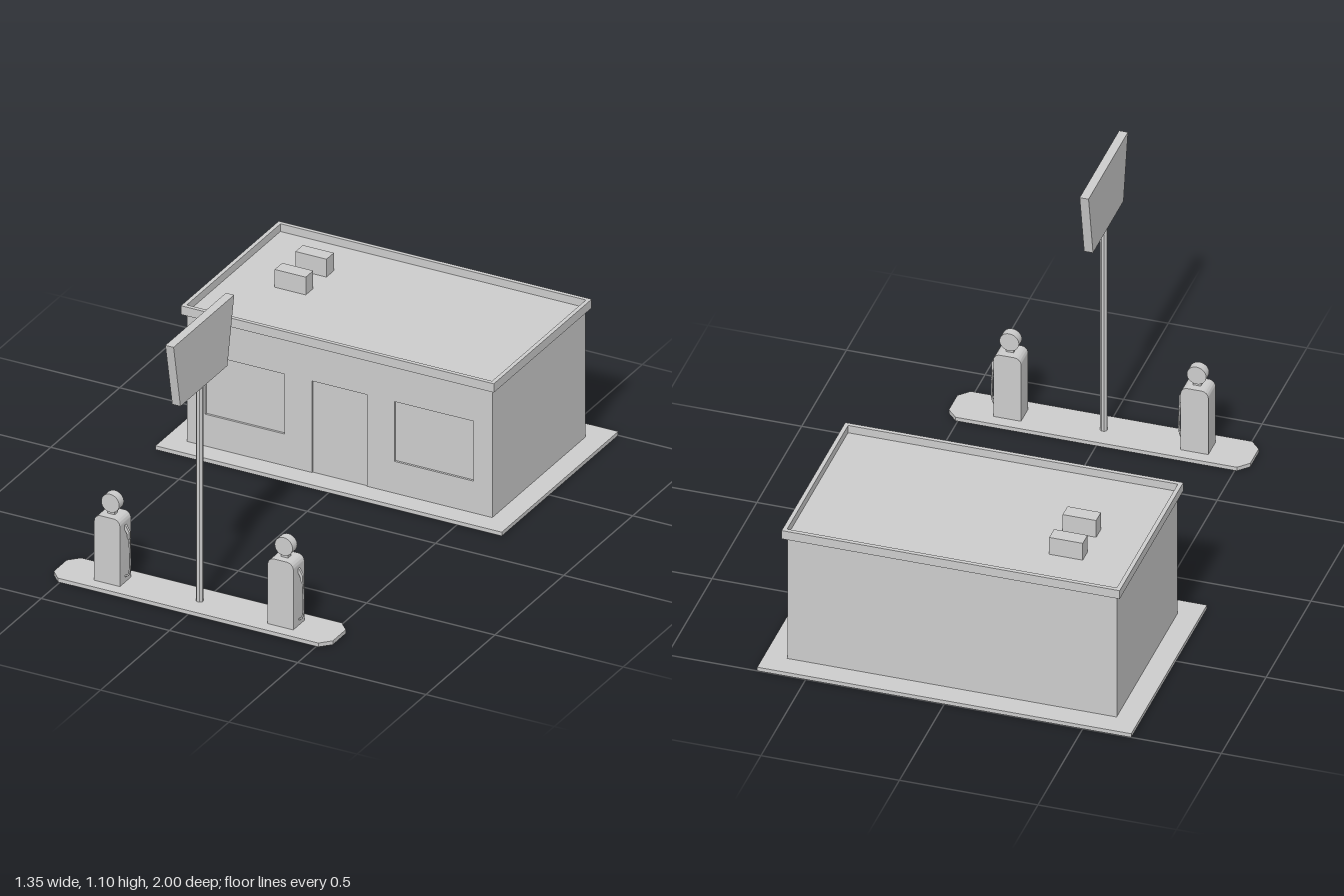
import * as THREE from 'three';
import { toCreasedNormals } from 'three/addons/utils/BufferGeometryUtils.js';

const material = new THREE.MeshStandardMaterial({ color: 0xcccccc });

function add(parent, name, geometry, x = 0, y = 0, z = 0) {
  const mesh = new THREE.Mesh(geometry, material);
  mesh.name = name;
  mesh.position.set(x, y, z);
  parent.add(mesh);
  return mesh;
}

// Box given by its limits on each axis
function addBox(parent, name, [x0, x1], [y0, y1], [z0, z1]) {
  return add(parent, name, new THREE.BoxGeometry(x1 - x0, y1 - y0, z1 - z0),
    (x0 + x1) / 2, (y0 + y1) / 2, (z0 + z1) / 2);
}

const polygon = (points) => new THREE.Shape(points.map(([x, y]) => new THREE.Vector2(x, y)));
const rect = (x0, x1, y0, y1) => polygon([[x0, y0], [x1, y0], [x1, y1], [x0, y1]]);
const extrude = (shape, depth, curveSegments = 8) =>
  new THREE.ExtrudeGeometry(shape, { depth, bevelEnabled: false, curveSegments });

// Horizontal rectangular frame, centred, rising from y = 0
function frame(outerX, outerZ, innerX, innerZ, height) {
  const shape = rect(-outerX, outerX, -outerZ, outerZ);
  shape.holes.push(rect(-innerX, innerX, -innerZ, innerZ));
  return extrude(shape, height).rotateX(-Math.PI / 2);
}

function createShop() {
  const shop = new THREE.Group();
  shop.name = 'shop';
  const W = 0.595, back = -0.912, front = -0.235, t = 0.018, mid = (front + back) / 2;
  const D = (front - back) / 2;

  // Ground slab around the walls, and the floor inside them
  add(shop, 'groundSlab', frame(0.675, 0.4225, W, D, 0.015), 0, 0, -0.5775);
  addBox(shop, 'floor', [-W + t, W - t], [0, 0.015], [back + t, front - t]);

  // Front wall with a door notch and two window openings
  const wall = polygon([[-W, 0.008], [-0.108, 0.008], [-0.108, 0.37], [0.106, 0.37],
    [0.106, 0.008], [W, 0.008], [W, 0.51], [-W, 0.51]]);
  for (const x of [-0.37, 0.367]) wall.holes.push(rect(x - 0.154, x + 0.154, 0.138, 0.37));
  add(shop, 'frontWall', extrude(wall, t), 0, 0, front - t);
  addBox(shop, 'door', [-0.108, 0.106], [0.008, 0.37], [front - t, front - 0.008]);
  for (const x of [-0.37, 0.367]) {
    addBox(shop, 'window', [x - 0.154, x + 0.154], [0.138, 0.37], [front - t, front - 0.008]);
  }

  // Plain walls
  addBox(shop, 'backWall', [-W, W], [0.008, 0.51], [back, back + t]);
  for (const s of [-1, 1]) {
    const x = s * (W - t / 2);
    addBox(shop, 'sideWall', [x - t / 2, x + t / 2], [0.008, 0.51], [back + t, front - t]);
  }

  // Sunken roof, raised rim and two vents
  addBox(shop, 'roof', [-W, W], [0.5, 0.516], [back, front]);
  add(shop, 'roofRim', frame(0.61, 0.355, 0.595, 0.34, 0.034), 0, 0.511, mid);
  for (const z of [-0.717, -0.567]) {
    addBox(shop, 'roofVent', [-0.417, -0.296], [0.514, 0.585], [z - 0.027, z + 0.027]);
  }
  return shop;
}

function createPump(x, z) {
  const pump = new THREE.Group();
  pump.name = 'fuelPump';
  pump.position.set(x, 0, z);

  // Cabinet with rounded top corners
  const w = 0.05, top = 0.271, r = 0.025;
  const body = new THREE.Shape();
  body.moveTo(-w, 0.012);
  body.lineTo(w, 0.012);
  body.lineTo(w, top - r);
  body.absarc(w - r, top - r, r, 0, Math.PI / 2);
  body.absarc(-w + r, top - r, r, Math.PI / 2, Math.PI);
  body.closePath();
  add(pump, 'pumpCabinet', toCreasedNormals(extrude(body, 0.08, 6), 0.6), 0, 0, -0.04);

  // Round lamp on a short neck
  addBox(pump, 'lampNeck', [-0.014, 0.014], [0.268, 0.288], [-0.011, 0.011]);
  const lamp = new THREE.CylinderGeometry(0.035, 0.035, 0.034, 28).rotateX(Math.PI / 2);
  add(pump, 'lampDisc', lamp, 0, 0.315, 0);

  // Nozzle and hose hanging on the model's left side
  const nozzle = polygon([[0.048, 0.238], [0.054, 0.235], [0.067, 0.212],
    [0.067, 0.185], [0.061, 0.185], [0.058, 0.205], [0.048, 0.222]]);
  add(pump, 'nozzle', extrude(nozzle, 0.01), 0, 0, -0.005);
  const path = new THREE.CatmullRomCurve3([[0.064, 0.2], [0.067, 0.15], [0.067, 0.065],
    [0.06, 0.043], [0.046, 0.037]].map(([px, py]) => new THREE.Vector3(px, py, 0)));
  add(pump, 'hose', new THREE.TubeGeometry(path, 20, 0.0035, 8));
  return pump;
}

export function createModel() {
  const model = new THREE.Group();
  model.name = 'fuelStation';
  const z = 0.78;
  model.add(createShop());

  // Pump island with cut corners
  const X = 0.544, Z = 0.085, cx = 0.508, cz = 0.047;
  const island = polygon([[-X, -cz], [-cx, -Z], [cx, -Z], [X, -cz],
    [X, cz], [cx, Z], [-cx, Z], [-X, cz]]);
  add(model, 'pumpIsland', extrude(island, 0.015).rotateX(-Math.PI / 2), 0, 0, z);
  for (const x of [-0.34, 0.336]) model.add(createPump(x, z));

  // Eight-sided pole and a sign panel wider at the top
  const pole = new THREE.CylinderGeometry(0.0135, 0.0135, 0.855, 8).rotateY(Math.PI / 8);
  add(model, 'signPole', toCreasedNormals(pole, 0.5), 0, 0.4275, z);
  const panel = polygon([[-0.17, 0.85], [0.17, 0.85], [0.22, 1.102], [-0.22, 1.102]]);
  const sign = extrude(panel, 0.032).translate(0, 0, -0.016).rotateY(Math.PI / 2);
  add(model, 'signPanel', sign, 0, 0, z);
  return model;
}
